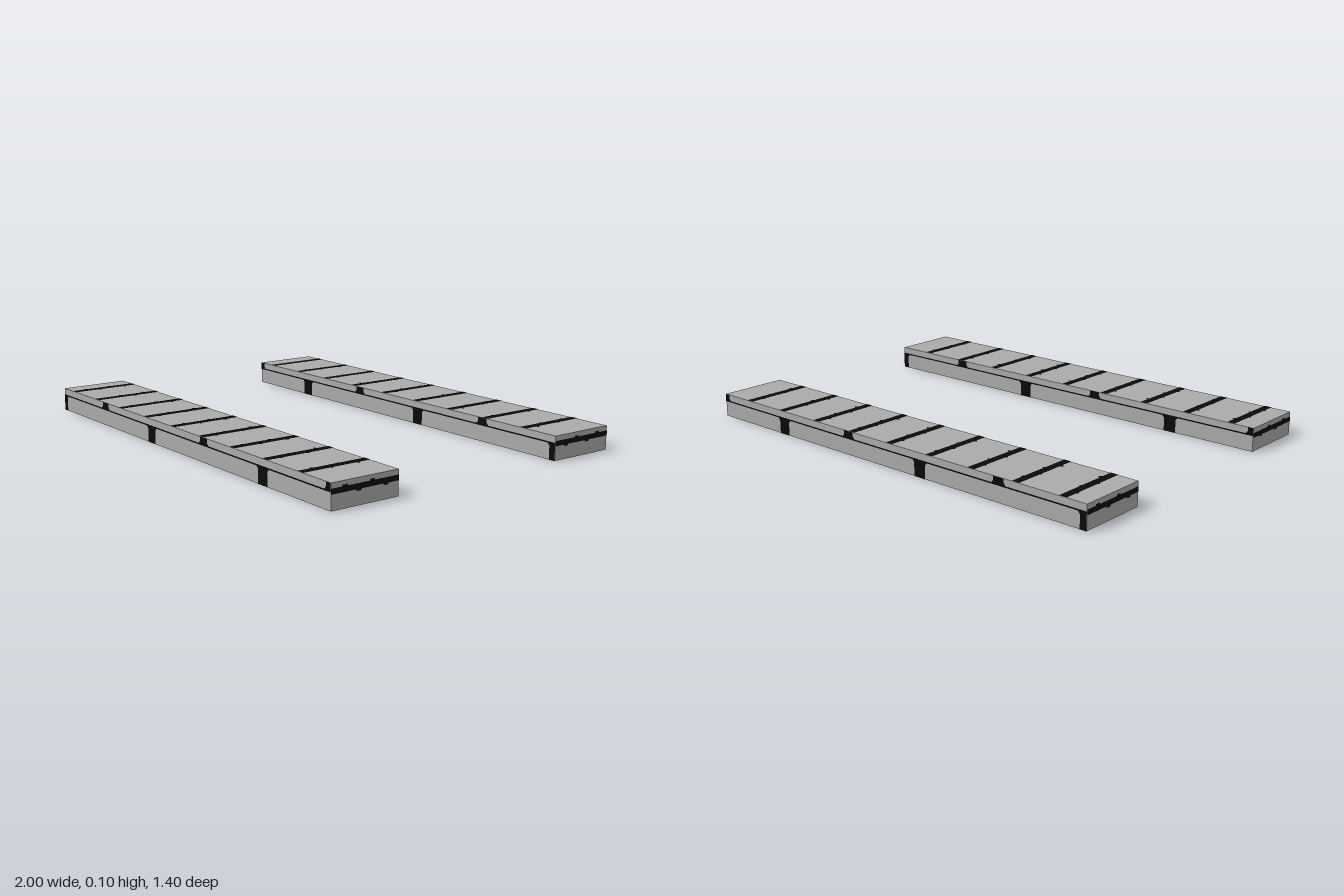
import * as THREE from 'three';

const stone = new THREE.MeshStandardMaterial({ color: 0xaaaaaa });
stone.name = 'stone grey';
const mortar = new THREE.MeshStandardMaterial({ color: 0x0a0a0a });
mortar.name = 'mortar black';

const WIDTH = 0.3, HEIGHT = 0.1, MID = 0.55, LIFT = 0.0015;
const SEAM = 0.07; // height of the horizontal joint

// Flat painted polygon on a face; the face's local z points outward
function paint(face, name, points) {
  const shape = new THREE.Shape(points.map(([x, y]) => new THREE.Vector2(x, y)));
  const mesh = new THREE.Mesh(new THREE.ShapeGeometry(shape), mortar);
  mesh.name = name;
  mesh.position.z = LIFT;
  face.add(mesh);
}

const rect = (x0, x1, y0, y1) => [[x0, y0], [x1, y0], [x1, y1], [x0, y1]];
const diamond = (x, y, rx, ry) => [[x - rx, y], [x, y - ry], [x + rx, y], [x, y + ry]];

// Vertical joint flaring where it meets the seam, cut off at the slab ends
function joint(x, far, half) {
  const d = Math.sign(SEAM - far);
  const pts = [
    [x - half, far], [x + half, far],
    [x + half, SEAM - 0.014 * d], [x + half + 0.012, SEAM],
    [x - half - 0.012, SEAM], [x - half, SEAM - 0.014 * d],
  ];
  return pts.map(([px, py]) => [THREE.MathUtils.clamp(px, -1, 1), py]);
}

function makeFace(parent, name, position, rx, ry) {
  const face = new THREE.Group();
  face.name = name;
  face.position.set(...position);
  face.rotation.set(rx, ry, 0);
  parent.add(face);
  return face;
}

// side = 1 for the front slab, -1 for its mirror image at the back
function makeSlab(side) {
  const slab = new THREE.Group();
  slab.name = side > 0 ? 'frontSlab' : 'backSlab';
  slab.position.z = side * MID;

  const body = new THREE.Mesh(new THREE.BoxGeometry(2, HEIGHT, WIDTH), stone);
  body.name = 'slabBody';
  body.position.y = HEIGHT / 2;
  slab.add(body);

  // Long faces: seam with joints alternating above and below it
  for (const outer of [true, false]) {
    const n = outer ? side : -side;
    const face = makeFace(slab, outer ? 'outerFace' : 'innerFace',
      [0, 0, n * WIDTH / 2], 0, n > 0 ? 0 : Math.PI);
    paint(face, 'longSeam', rect(-1, 1, SEAM - 0.003, SEAM + 0.003));
    for (let i = 0; i < 6; i++) {
      const x = n * (-1 + 0.4 * i);
      const lower = (i % 2 === 0) === outer;
      paint(face, lower ? 'lowerJoint' : 'upperJoint',
        joint(x, lower ? 0 : HEIGHT, lower ? 0.029 : 0.025));
    }
  }

  // Short ends: wide seam with small nubs
  for (const n of [1, -1]) {
    const face = makeFace(slab, n > 0 ? 'leftEnd' : 'rightEnd', [n, 0, 0], 0, n * Math.PI / 2);
    paint(face, 'endSeam', rect(-WIDTH / 2, WIDTH / 2, 0.059, 0.08));
    for (let k = 0; k < 4; k++) {
      const u = -n * side * (-0.09 + 0.06 * k);
      const y = k % 2 ? 0.08 : 0.059;
      paint(face, 'endNub', rect(u - 0.011, u + 0.011, y - 0.006, y + 0.006));
    }
  }

  // Top: nine cross stripes with little nubs on alternate edges
  const top = makeFace(slab, 'topFace', [0, HEIGHT, 0], -Math.PI / 2, 0);
  for (let i = 0; i < 9; i++) {
    const x = -0.895 + 0.2155 * i;
    paint(top, 'topStripe', rect(x - 0.017, x + 0.017, -WIDTH / 2, WIDTH / 2));
    for (let k = 0; k < 4; k++) {
      const edge = (i + k) % 2 ? -1 : 1;
      const v = -side * (-0.09 + 0.06 * k);
      paint(top, 'topNub', diamond(x + edge * 0.017, v, k === 0 ? 0.014 : 0.007, 0.009));
    }
  }

  // Underside: five wider cross stripes
  const bottom = makeFace(slab, 'bottomFace', [0, 0, 0], Math.PI / 2, 0);
  for (let i = -2; i <= 2; i++) {
    paint(bottom, 'bottomStripe',
      rect(0.4 * i - 0.03, 0.4 * i + 0.03, -WIDTH / 2, WIDTH / 2));
  }
  return slab;
}

export function createModel() {
  const model = new THREE.Group();
  model.name = 'pairOfSlabs';
  model.add(makeSlab(1), makeSlab(-1));
  return model;
}
